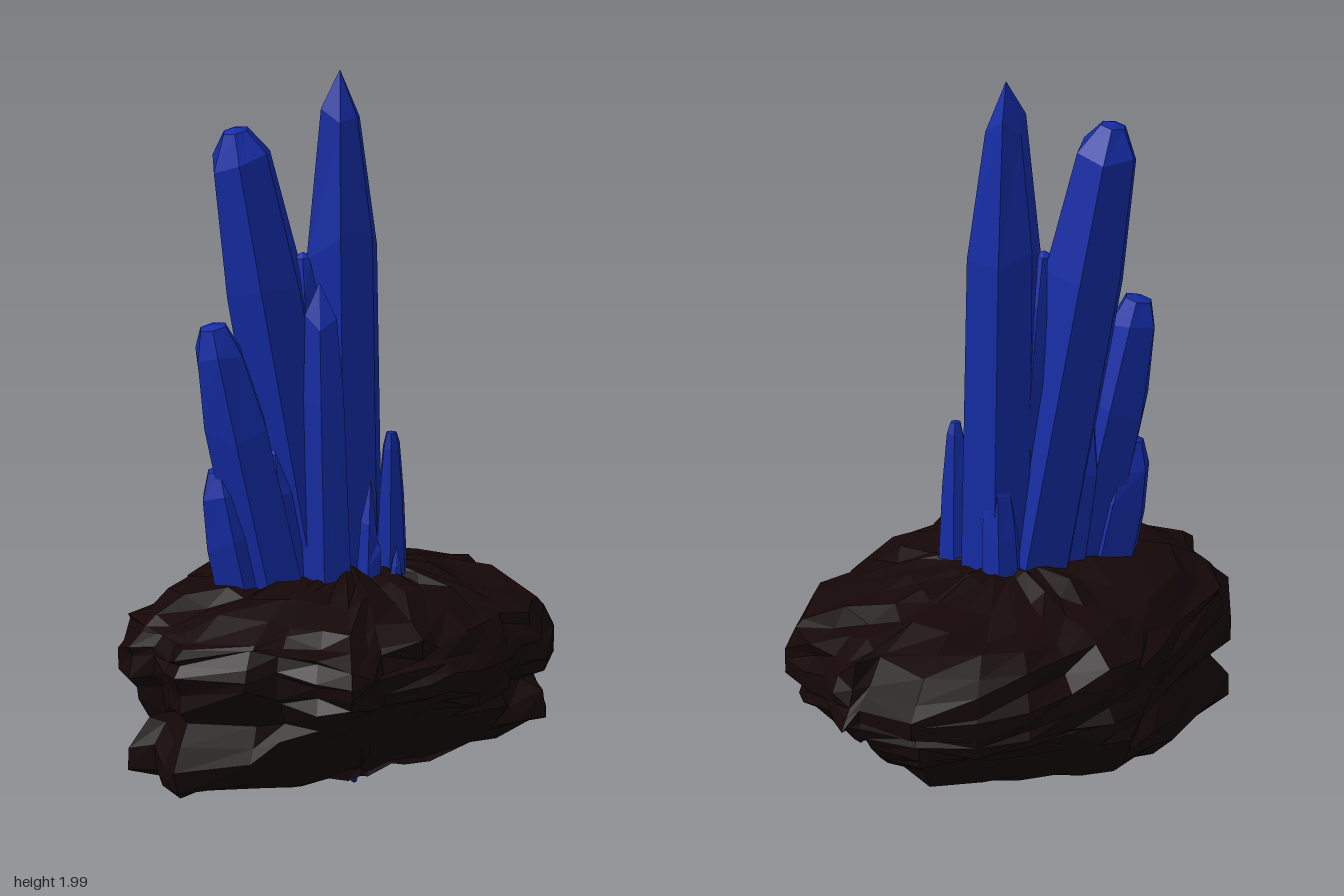
import * as THREE from 'three';

// Small seeded generator so the rough shapes are repeatable
function seeded(seed) {
  return () => {
    seed = (seed * 16807) % 2147483647;
    return seed / 2147483647;
  };
}

// Skin a stack of equal-length point loops (bottom to top)
function loft(rings) {
  const n = rings[0].length;
  const index = [];
  for (let i = 0; i < rings.length - 1; i++) {
    for (let j = 0; j < n; j++) {
      const a = i * n + j, b = i * n + (j + 1) % n;
      index.push(a, a + n, b, b, a + n, b + n);
    }
  }
  const geometry = new THREE.BufferGeometry().setFromPoints(rings.flat());
  geometry.setIndex(index);
  geometry.computeVertexNormals();
  return geometry;
}

const crystalMaterial = new THREE.MeshStandardMaterial({ color: 0x142ca4, flatShading: true });
const rockMaterial = new THREE.MeshStandardMaterial({ color: 0x150707, flatShading: true });

// Faceted prism from base to tip: tapers to the neck, then a pointed or blunt head
function crystal(name, base, tip, radius, options = {}) {
  const { head = 0.14, waist = 0.95, neck = 0.65, blunt = 0, turn = 0.3, seed = 7, sides = 6 } = options;
  const rand = seeded(seed * 7919);
  const from = new THREE.Vector3(...base), to = new THREE.Vector3(...tip);
  const axis = to.clone().sub(from);
  const length = axis.length();
  const q = new THREE.Quaternion().setFromUnitVectors(new THREE.Vector3(0, 1, 0), axis.normalize());
  const wobble = Array.from({ length: sides }, () => 0.92 + 0.16 * rand());
  const profile = [
    [0, 0, 0], [0, 1, 0], [(length - head) * 0.75, waist, head * 0.8],
    [length - head, neck, head * 0.5], [length - head * 0.1, blunt, 0], [length, 0, 0],
  ];
  if (!blunt) profile.splice(4, 1);
  const rings = profile.map(([h, r, uneven]) => wobble.map((w, j) => {
    const a = turn + j / sides * Math.PI * 2;
    const rr = r * w * radius;
    return new THREE.Vector3(Math.cos(a) * rr, h + (rand() - 0.5) * uneven, Math.sin(a) * rr)
      .applyQuaternion(q).add(from);
  }));
  const mesh = new THREE.Mesh(loft(rings), crystalMaterial);
  mesh.name = name;
  return mesh;
}

// Flat craggy boulder: one plan outline, scaled through jittered layers
function rock() {
  const outline = [
    [-0.02, -0.74], [0.17, -0.64], [0.21, -0.66], [0.26, -0.6], [0.32, -0.49], [0.42, -0.4], [0.51, -0.3],
    [0.54, -0.15], [0.555, -0.04], [0.5, 0.05], [0.52, 0.14], [0.48, 0.34], [0.43, 0.48], [0.38, 0.53],
    [0.27, 0.6], [0.26, 0.68], [0.21, 0.73], [0.1, 0.69], [-0.02, 0.65], [-0.1, 0.7], [-0.3, 0.69],
    [-0.35, 0.61], [-0.4, 0.51], [-0.48, 0.48], [-0.555, 0.3], [-0.53, 0.05], [-0.51, -0.1], [-0.51, -0.25],
    [-0.47, -0.37], [-0.37, -0.43], [-0.3, -0.57], [-0.18, -0.66],
  ];
  // [plan scale, height, slope along z, slope along x, reach of the undercut corners]
  const layers = [
    [0, 0.14, 0, 0, 1], [0.35, 0.14, -0.04, 0.03, 0.5], [0.65, 0.135, -0.06, 0.05, 0.5],
    [0.88, 0.145, -0.07, 0.06, 0.48], [1, 0.18, -0.06, 0.03, 0.52], [0.99, 0.215, -0.04, 0, 0.56],
    [0.94, 0.26, -0.03, 0, 0.62], [0.92, 0.3, 0, 0, 0.7], [0.95, 0.335, 0.02, 0, 0.8],
    [0.99, 0.365, 0.04, 0, 0.9], [1, 0.395, 0.06, -0.03, 1], [0.99, 0.425, 0.05, -0.04, 1],
    [0.98, 0.455, 0.05, -0.05, 1], [0.94, 0.485, 0.03, -0.04, 1], [0.88, 0.52, 0.01, -0.03, 1],
    [0.77, 0.55, 0.02, -0.02, 1], [0.6, 0.58, 0.05, -0.02, 1], [0.42, 0.605, 0.07, 0, 1],
    [0.22, 0.622, 0.05, 0, 1], [0, 0.622, 0, 0, 1],
  ];
  const rand = seeded(4211);
  const rings = layers.map(([s, y, slopeZ, slopeX, reach]) => outline.map(([ox, oz]) => {
    // Round the inner rings towards an ellipse, and undercut the lower ones
    const a = Math.atan2(oz / 0.68, ox / 0.52), round = (1 - s) * 0.9;
    const k = Math.min(1, s * (1 + (rand() - 0.5) * 0.1));
    let x = THREE.MathUtils.lerp(ox, Math.cos(a) * 0.52, round) * k;
    let z = THREE.MathUtils.lerp(oz, Math.sin(a) * 0.68, round) * k;
    const frontRight = reach / Math.max(0.01, x + z);
    const back = (reach + 0.12) / Math.max(0.01, Math.abs(x) - z);
    const cut = Math.min(1, frontRight, z < 0 ? back : 1);
    x = Math.max(x * cut, y < 0.32 ? -0.48 * k : -0.56);
    z *= cut;
    const bump = s ? (rand() - 0.5) * 0.035 + 0.01 * Math.sin(11 * x + 2) * Math.cos(9 * z) : 0;
    return new THREE.Vector3(x, y + slopeZ * z + slopeX * x + bump, z);
  }));
  const mesh = new THREE.Mesh(loft(rings), rockMaterial);
  mesh.name = 'rockBase';
  return mesh;
}

export function createModel() {
  const group = new THREE.Group();
  group.name = 'crystalCluster';
  group.add(rock());

  // Standing crystals, tallest first
  const standing = [
    ['mainCrystal', [0.01, 0.4, 0.015], [0, 2, 0.045], 0.108, { head: 0.12, neck: 0.52, seed: 3 }],
    ['leaningCrystal', [-0.03, 0.4, 0.06], [-0.255, 1.86, 0.2], 0.125, { head: 0.1, neck: 0.72, blunt: 0.3, seed: 5 }],
    ['innerCrystal', [-0.03, 0.4, 0.06], [-0.09, 1.5, 0.1], 0.09, { blunt: 0.3, seed: 8 }],
    ['frontCrystal', [-0.01, 0.4, 0.15], [-0.03, 1.43, 0.15], 0.085, { head: 0.11, waist: 0.8, neck: 0.6, seed: 11 }],
    ['sideCrystal', [-0.12, 0.4, 0.17], [-0.295, 1.33, 0.285], 0.1, { head: 0.09, neck: 0.7, blunt: 0.4, seed: 13 }],
    ['lowCrystal', [-0.18, 0.4, 0.2], [-0.28, 0.93, 0.265], 0.09, { head: 0.08, neck: 0.75, blunt: 0.4, seed: 17 }],
    ['fillerCrystal', [-0.08, 0.4, 0.12], [-0.17, 1.1, 0.16], 0.1, { seed: 18 }],
    ['rightCrystal', [0.13, 0.4, 0.005], [0.14, 1, 0.03], 0.058, { head: 0.04, waist: 0.65, neck: 0.42, blunt: 0.25, seed: 19 }],
    ['backCrystal', [-0.035, 0.4, -0.06], [-0.01, 0.95, -0.04], 0.066, { waist: 0.8, neck: 0.6, seed: 23 }],
    ['smallCrystal', [0.09, 0.4, 0.11], [0.1, 0.88, 0.1], 0.045, { waist: 0.8, neck: 0.6, seed: 29 }],
    ['tinyCrystal', [0.17, 0.5, 0.11], [0.175, 0.7, 0.11], 0.02, { head: 0.05, seed: 31 }],
  ];
  for (const args of standing) group.add(crystal(...args));

  // Two bunches of crooked shards poking out underneath
  const shards = new THREE.Group();
  shards.name = 'undersideShards';
  const rand = seeded(977);
  // [start x, z, end x, z, count, lowest tip]
  const bunches = [[-0.2, 0.12, -0.06, -0.01, 10, 0], [0.02, 0.16, 0.09, 0.17, 5, 0.05]];
  for (const [x0, z0, x1, z1, count, low] of bunches) {
    for (let i = 0; i < count; i++) {
      const t = i / (count - 1);
      const x = x0 + (x1 - x0) * t + (rand() - 0.5) * 0.04;
      const z = z0 + (z1 - z0) * t + (rand() - 0.5) * 0.04;
      const tipY = low + Math.abs(t - 0.5) * 0.1 + (i % 2) * 0.02;
      shards.add(crystal('shard', [x, 0.22, z], [x + (rand() - 0.5) * 0.06, tipY, z + (rand() - 0.5) * 0.06],
        0.034, { head: 0.06, neck: 0.7, blunt: 0.25, seed: 41 + i, sides: 5 }));
    }
  }
  group.add(shards);
  return group;
}
